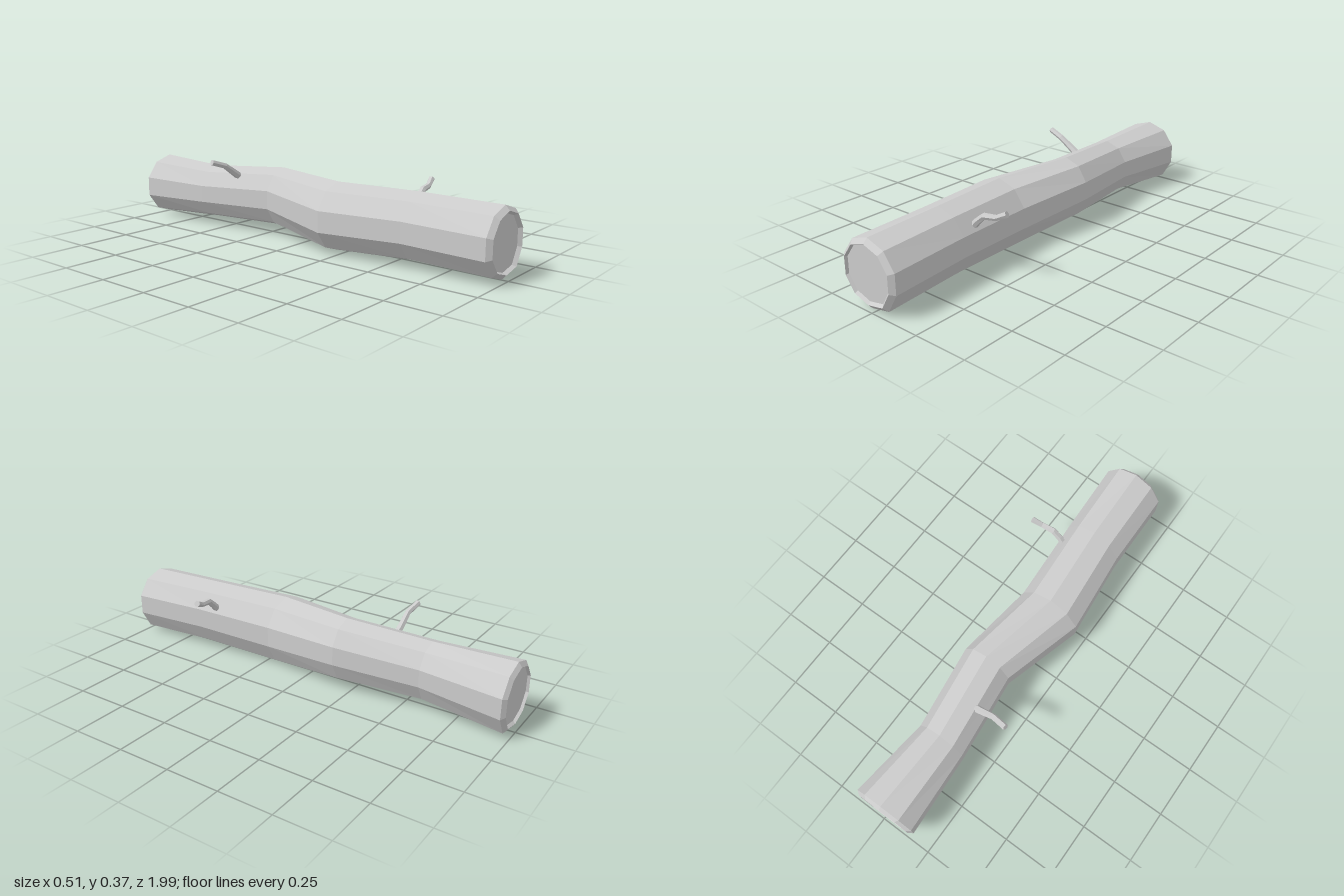
import * as THREE from 'three';

const material = new THREE.MeshStandardMaterial({ color: 0xcccccc, flatShading: true });

// Skin a list of closed rings, with a flat fan closing each end
function loft(name, rings) {
  const n = rings[0].length, pos = [];
  const tri = (...pts) => pts.forEach(p => pos.push(p.x, p.y, p.z));
  for (let i = 0; i < rings.length - 1; i++) {
    for (let j = 0; j < n; j++) {
      const k = (j + 1) % n;
      const a = rings[i][j], b = rings[i][k], c = rings[i + 1][k], d = rings[i + 1][j];
      tri(a, b, c);
      tri(a, c, d);
    }
  }
  const first = rings[0], last = rings[rings.length - 1];
  for (let j = 1; j < n - 1; j++) {
    tri(first[0], first[j + 1], first[j]);
    tri(last[0], last[j], last[j + 1]);
  }
  const geometry = new THREE.BufferGeometry();
  geometry.setAttribute('position', new THREE.Float32BufferAttribute(pos, 3));
  geometry.computeVertexNormals();
  const mesh = new THREE.Mesh(geometry, material);
  mesh.name = name;
  return mesh;
}

// Ten-sided trunk ring with a corner at the top and one slightly bulging corner
function trunkRing([z, cx, cy, rx, ry], scale = 1) {
  return Array.from({ length: 10 }, (_, j) => {
    const a = Math.PI / 2 + j * Math.PI / 5;
    const s = scale * (j === 6 ? 1.08 : 1);
    return new THREE.Vector3(cx + Math.cos(a) * rx * s, cy + Math.sin(a) * ry * s, z);
  });
}

// Six-sided twig following a bent path of [x, y, z, radius]
function twig(name, path) {
  const pts = path.map(p => new THREE.Vector3(p[0], p[1], p[2]));
  const rings = pts.map((p, i) => {
    const t = pts[Math.min(i + 1, pts.length - 1)].clone().sub(pts[Math.max(i - 1, 0)]).normalize();
    const v = new THREE.Vector3().crossVectors(t, new THREE.Vector3(0, 0, 1)).normalize();
    const u = new THREE.Vector3().crossVectors(v, t);
    return Array.from({ length: 6 }, (_, j) => {
      const a = j * Math.PI / 3, r = path[i][3];
      return p.clone().addScaledVector(u, Math.cos(a) * r).addScaledVector(v, Math.sin(a) * r);
    });
  });
  return loft(name, rings);
}

export function createModel() {
  const group = new THREE.Group();
  group.name = 'log';

  // Trunk sections from back to front: z, centre x, centre y, radius x, radius y
  const sections = [
    [-0.975, -0.018, 0.16, 0.155, 0.151],
    [-0.59, -0.03, 0.166, 0.121, 0.13],
    [-0.19, 0.015, 0.182, 0.126, 0.141],
    [0.2, -0.06, 0.157, 0.156, 0.156],
    [0.6, -0.03, 0.167, 0.148, 0.149],
    [0.98, -0.018, 0.16, 0.155, 0.151],
  ];
  // Bevelled rim and shallow recessed cut at both ends
  const end = (z, scale, dx = 0) => trunkRing([z, -0.018 + dx, 0.16, 0.155, 0.151], scale);
  group.add(loft('trunk', [
    end(-0.978, 0.8, -0.004),
    end(-0.99, 0.86),
    ...sections.map(s => trunkRing(s)),
    end(1, 0.86),
    end(0.985, 0.8, -0.006),
  ]));

  // Two small bent twigs
  group.add(twig('leftTwig', [
    [0.07, 0.215, 0.51, 0.018], [0.105, 0.255, 0.512, 0.016], [0.14, 0.286, 0.51, 0.015],
    [0.2, 0.292, 0.502, 0.013], [0.247, 0.315, 0.488, 0.015],
  ]));
  group.add(twig('rightTwig', [
    [-0.08, 0.27, -0.395, 0.018], [-0.125, 0.3, -0.395, 0.016],
    [-0.175, 0.333, -0.393, 0.014], [-0.248, 0.357, -0.405, 0.014],
  ]));
  return group;
}
